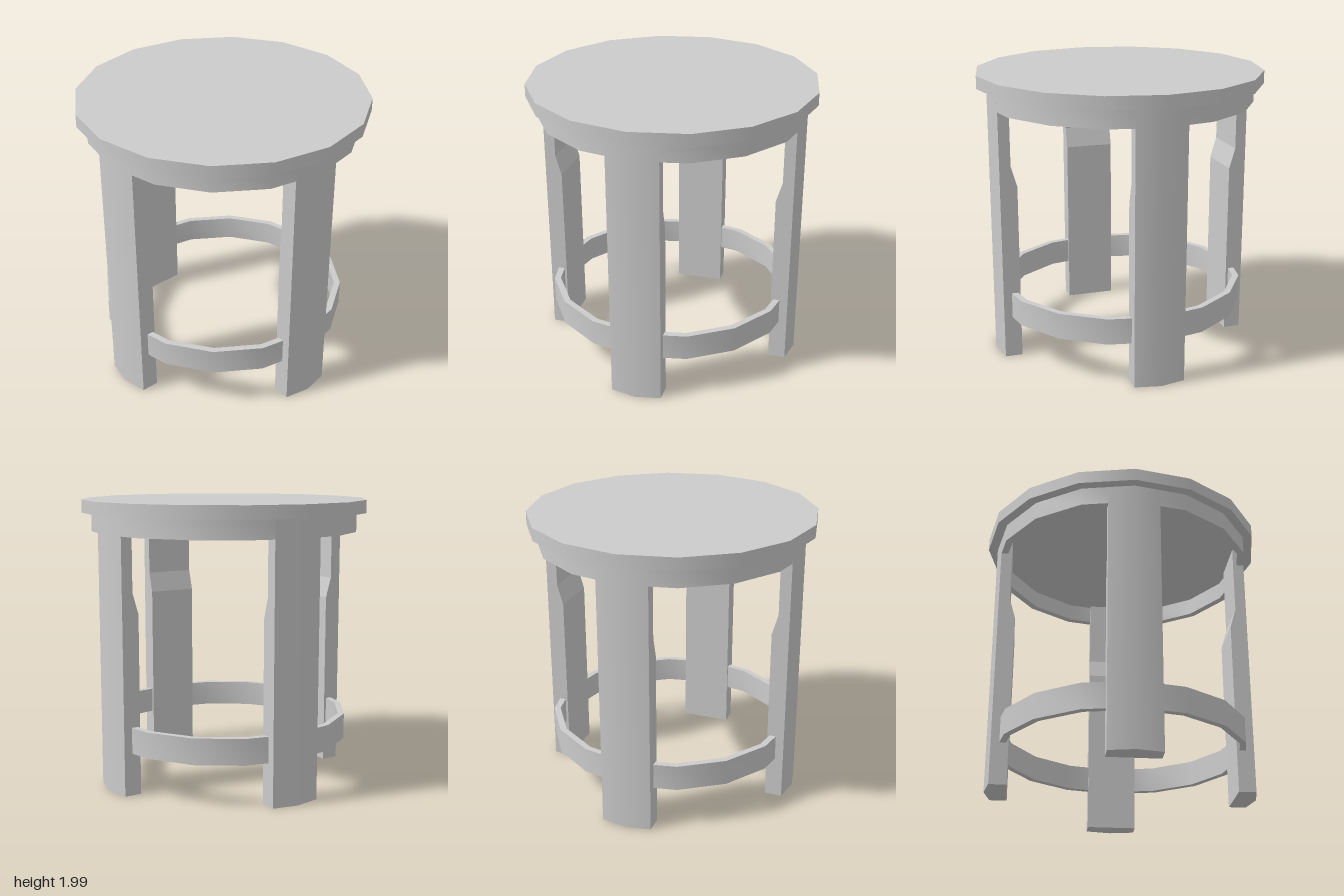
import * as THREE from 'three';
import { toCreasedNormals } from 'three/addons/utils/BufferGeometryUtils.js';

const SIDES = 16;
const APRON_R = 0.933;
const material = new THREE.MeshStandardMaterial({ color: 0xcccccc });

function part(name, geometry) {
  const mesh = new THREE.Mesh(geometry, material);
  mesh.name = name;
  return mesh;
}

// Rectangular-section hoop, smooth around and sharp at its rims
function hoop(inner, outer, y0, y1) {
  const profile = [[inner, y0], [outer, y0], [outer, y1], [inner, y1], [inner, y0]]
    .map(([r, y]) => new THREE.Vector2(r, y));
  return toCreasedNormals(new THREE.LatheGeometry(profile, SIDES), 0.6);
}

// Leg pointing along +z: outer face follows the apron, inner face steps back near the top
function legGeometry() {
  const halfWidth = 0.177, edge = 0.898;
  const levels = [[0, 0.778], [1.245, 0.778], [1.39, 0.82], [1.895, 0.82]]; // height, inner depth
  const rings = levels.map(([y, inner]) => [
    [-halfWidth, edge], [0, APRON_R], [halfWidth, edge], [halfWidth, inner], [-halfWidth, inner],
  ].map(([x, z]) => [x, y, z]));
  const positions = [];
  const tri = (a, b, c) => positions.push(...a, ...b, ...c);
  for (let k = 0; k < rings.length - 1; k++) {
    const low = rings[k], high = rings[k + 1];
    for (let i = 0; i < 5; i++) {
      const j = (i + 1) % 5;
      tri(low[i], low[j], high[j]);
      tri(low[i], high[j], high[i]);
    }
  }
  const bottom = rings[0], top = rings[rings.length - 1];
  for (let i = 1; i < 4; i++) {
    tri(bottom[0], bottom[i + 1], bottom[i]);
    tri(top[0], top[i], top[i + 1]);
  }
  const geometry = new THREE.BufferGeometry();
  geometry.setAttribute('position', new THREE.Float32BufferAttribute(positions, 3));
  geometry.computeVertexNormals();

  // Round the shading of the outer face only
  const p = geometry.attributes.position, n = geometry.attributes.normal;
  for (let i = 0; i < p.count; i++) {
    if (n.getZ(i) < 0.9) continue;
    const r = Math.hypot(p.getX(i), p.getZ(i));
    n.setXYZ(i, p.getX(i) / r, 0, p.getZ(i) / r);
  }
  return geometry;
}

export function createModel() {
  const stool = new THREE.Group();
  stool.name = 'stool';

  // Seat
  const seat = part('seat', new THREE.CylinderGeometry(1, 1, 0.09, SIDES));
  seat.position.y = 1.94;
  stool.add(seat);

  // Apron under the seat and foot ring between the legs
  stool.add(part('apron', hoop(0.883, APRON_R, 1.765, 1.895)));
  stool.add(part('footRing', hoop(0.83, 0.875, 0.295, 0.475)));

  // Four legs on the diagonals
  const geometry = legGeometry();
  ['frontLeftLeg', 'backLeftLeg', 'backRightLeg', 'frontRightLeg'].forEach((name, i) => {
    const leg = part(name, geometry);
    leg.rotation.y = Math.PI / 4 + i * Math.PI / 2;
    stool.add(leg);
  });
  return stool;
}
